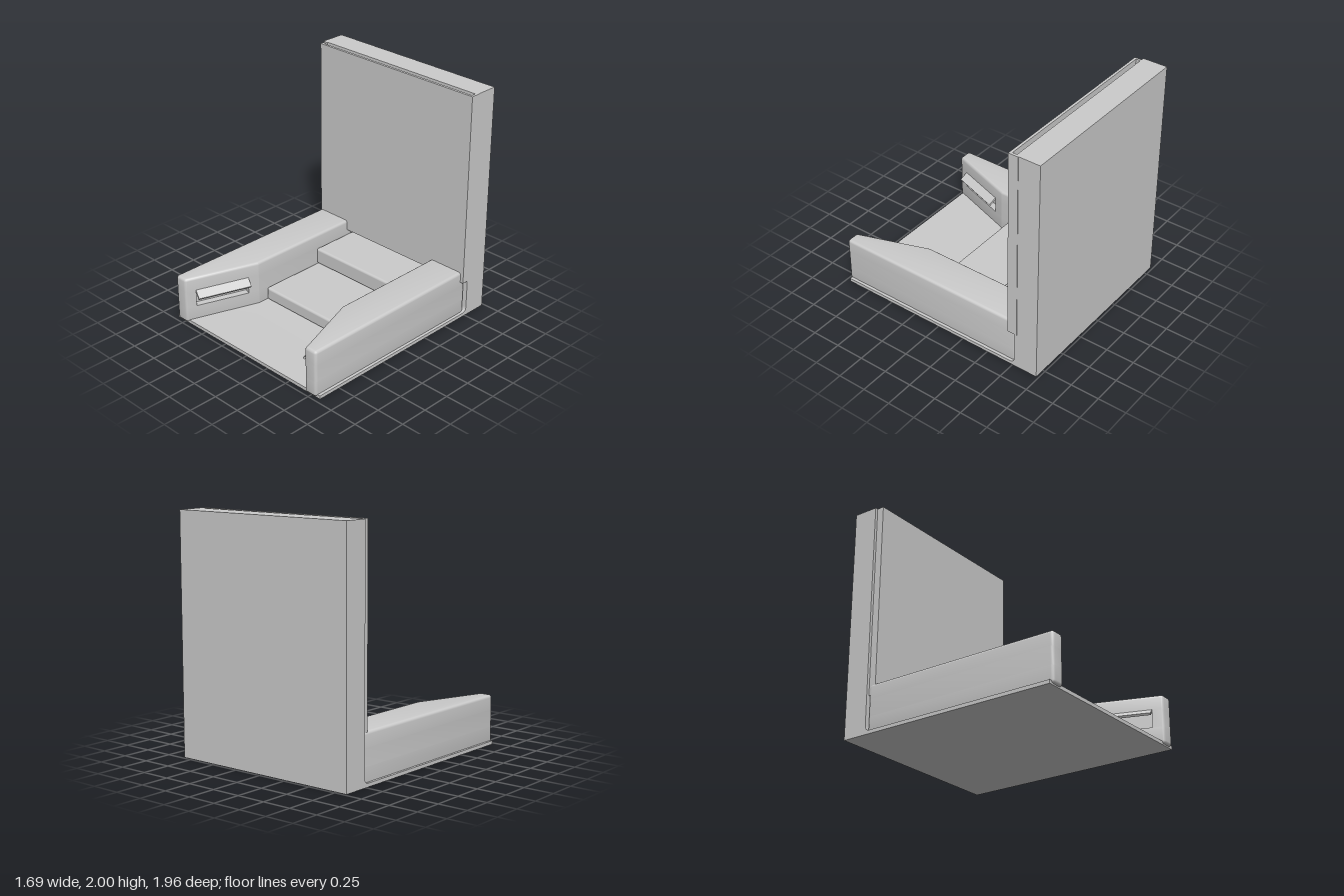
import * as THREE from 'three';
import { toCreasedNormals } from 'three/addons/utils/BufferGeometryUtils.js';
import { RoundedBoxGeometry } from 'three/addons/geometries/RoundedBoxGeometry.js';
import { ConvexGeometry } from 'three/addons/geometries/ConvexGeometry.js';

const material = new THREE.MeshStandardMaterial({ color: 0xcccccc });
const R = 0.025; // edge rounding of the arms
const STEPS = 4;
const V2 = (x, y) => new THREE.Vector2(x, y);

// Arm plan (x, z), counter-clockwise; the edge from corner 1 to corner 2 is slanted
const plan = [V2(0.82, 0.98), V2(0.705, 0.98), V2(0.49, 0.36), V2(0.49, -0.76), V2(0.82, -0.76)];
const along = plan[1].clone().sub(plan[2]).normalize();
const outward = V2(-along.y, along.x);
const POCKET = { start: 0.096, end: 0.564, depth: 0.06, low: 0.15, high: 0.295 };

function add(parent, name, geometry) {
  const mesh = new THREE.Mesh(geometry, material);
  mesh.name = name;
  parent.add(mesh);
  return mesh;
}

// Box given by its limits, optionally rounded
function block(parent, name, [x0, x1], [y0, y1], [z0, z1], radius = 0) {
  const size = [x1 - x0, y1 - y0, z1 - z0];
  const geometry = radius ? new RoundedBoxGeometry(...size, 3, radius) : new THREE.BoxGeometry(...size);
  const mesh = add(parent, name, geometry);
  mesh.position.set((x0 + x1) / 2, (y0 + y1) / 2, (z0 + z1) / 2);
  return mesh;
}

// Arm plan with corners rounded by r around centres inset by R; a list of arcs
function roundedPlan(r) {
  const n = plan.length;
  const normal = (i) => {
    const d = plan[(i + 1) % n].clone().sub(plan[i]).normalize();
    return V2(d.y, -d.x);
  };
  return plan.map((p, i) => {
    const a = normal((i + n - 1) % n), b = normal(i);
    const centre = p.clone().addScaledVector(a.clone().add(b), -R / (1 + a.dot(b)));
    const from = a.angle();
    const turn = Math.acos(a.dot(b));
    return Array.from({ length: STEPS + 1 }, (_, k) => {
      const t = from + (turn * k) / STEPS;
      return V2(centre.x + r * Math.cos(t), centre.y + r * Math.sin(t));
    });
  });
}

// End piece of an arm: straight at yFlat, rounded over at yRound
function armEnd(side, yFlat, yRound) {
  const points = [];
  const ring = (r, y) => roundedPlan(r).flat().forEach((p) => points.push(new THREE.Vector3(side * p.x, y, p.y)));
  const dir = Math.sign(yRound - yFlat);
  ring(R, yFlat);
  for (let k = 0; k <= STEPS; k++) {
    const t = (k / STEPS) * Math.PI / 2;
    ring(Math.max(R * Math.cos(t), 0.001), yRound - dir * R * (1 - Math.sin(t)));
  }
  return toCreasedNormals(new ConvexGeometry(points), 0.6);
}

function createArm(side) {
  const arm = new THREE.Group();
  arm.name = side > 0 ? 'leftArm' : 'rightArm';
  add(arm, 'armBottom', armEnd(side, POCKET.low, 0.01));
  add(arm, 'armTop', armEnd(side, POCKET.high, 0.42));

  // Middle layer, notched by the pocket in the slanted face
  const face = (d, out) => plan[2].clone().addScaledVector(along, d).addScaledVector(outward, out);
  const arcs = roundedPlan(R);
  arcs[1].push(face(POCKET.end, 0), face(POCKET.end, -POCKET.depth),
    face(POCKET.start, -POCKET.depth), face(POCKET.start, 0));
  const outline = new THREE.Shape(arcs.flat().map((p) => V2(side * p.x, p.y)));
  const middle = new THREE.ExtrudeGeometry(outline, { depth: POCKET.high - POCKET.low, bevelEnabled: false });
  middle.rotateX(Math.PI / 2).translate(0, POCKET.high, 0);
  add(arm, 'armMiddle', toCreasedNormals(middle, 0.6));

  // Tilted flap over the pocket
  const length = POCKET.end - POCKET.start;
  const section = new THREE.Shape([V2(-0.01, 0.308), V2(0.065, 0.25), V2(0.055, 0.234), V2(-0.01, 0.285)]);
  const flap = add(arm, 'pocketFlap',
    new THREE.ExtrudeGeometry(section, { depth: length, bevelEnabled: false }).translate(0, 0, -length / 2));
  const mid = face((POCKET.start + POCKET.end) / 2, 0);
  flap.position.set(side * mid.x, 0, mid.y);
  flap.rotation.y = Math.atan2(-outward.y, side * outward.x);
  return arm;
}

export function createModel() {
  const model = new THREE.Group();
  model.name = 'seatWithTallBack';

  // Base and back wall as one L-shaped profile (z, y) with a filleted corner
  const profile = new THREE.Shape();
  profile.moveTo(-0.98, 0);
  profile.lineTo(0.96, 0);
  profile.lineTo(0.96, 0.03);
  profile.lineTo(-0.72, 0.03);
  profile.quadraticCurveTo(-0.765, 0.03, -0.765, 0.075);
  profile.lineTo(-0.765, 2);
  profile.lineTo(-0.98, 2);
  const shell = new THREE.ExtrudeGeometry(profile, { depth: 1.685, bevelEnabled: false, curveSegments: 6 });
  shell.rotateY(-Math.PI / 2).translate(0.84, 0, 0);
  add(model, 'baseAndBackWall', toCreasedNormals(shell, 0.6));

  // Thin cover in front of the wall, open above and below
  const cover = new THREE.Group();
  cover.name = 'backCover';
  model.add(cover);
  block(cover, 'coverFront', [-0.82, 0.845], [0.33, 2], [-0.725, -0.703]);
  block(cover, 'coverRightSide', [-0.82, -0.8], [0.33, 2], [-0.79, -0.725]);
  block(cover, 'coverLeftSide', [0.822, 0.845], [0.33, 2], [-0.79, -0.725]);

  // Arms and cushions sit very slightly to the right
  const seat = new THREE.Group();
  seat.name = 'seat';
  seat.position.x = -0.005;
  model.add(seat);
  for (const side of [1, -1]) seat.add(createArm(side));
  block(seat, 'lowerCushion', [-0.49, 0.49], [0.03, 0.145], [-0.77, 0.275], 0.02);
  block(seat, 'upperCushion', [-0.49, 0.49], [0.145, 0.29], [-0.77, -0.32], 0.02);

  return model;
}
